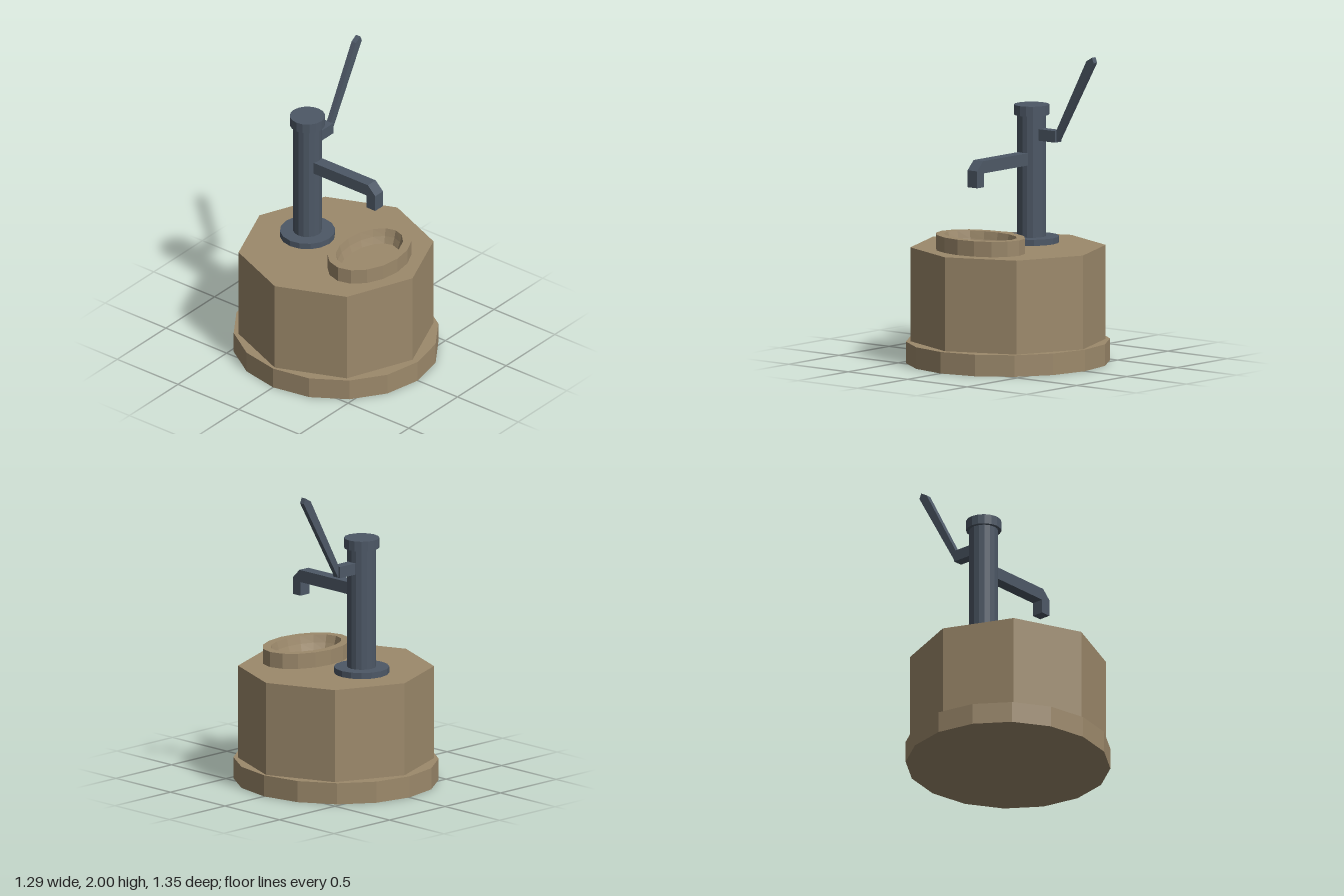
import * as THREE from 'three';

const stone = new THREE.MeshStandardMaterial({ color: 0x9c896b });
stone.name = 'stone';
const iron = new THREE.MeshStandardMaterial({ color: 0x4d5866 });
iron.name = 'iron';

const PUMP_Z = -0.235;

// Faceted mesh: every face gets its own normal
function part(name, geometry, material, x = 0, y = 0, z = 0) {
  const flat = geometry.index ? geometry.toNonIndexed() : geometry;
  flat.computeVertexNormals();
  const mesh = new THREE.Mesh(flat, material);
  mesh.name = name;
  mesh.position.set(x, y, z);
  return mesh;
}

// Upright prism between two heights
function prism(name, radius, y0, y1, sides, material, z = 0, scaleX = 1) {
  const g = new THREE.CylinderGeometry(radius, radius, y1 - y0, sides);
  g.scale(scaleX, 1, 1);
  return part(name, g, material, 0, (y0 + y1) / 2, z);
}

// Side profile extruded symmetrically about its own plane
function slab(points, width) {
  const shape = new THREE.Shape(points.map(([x, y]) => new THREE.Vector2(x, y)));
  const g = new THREE.ExtrudeGeometry(shape, { depth: width, bevelEnabled: false });
  return g.translate(0, 0, -width / 2);
}

// Oval basin rim of even wall thickness: a lathe with its z radius reduced by a constant
function basinRim() {
  const profile = [[0.325, 0], [0.325, 0.1], [0.27, 0.1], [0.257, 0.05], [0.24, 0.004]];
  const g = new THREE.LatheGeometry(profile.map(([r, y]) => new THREE.Vector2(r, y)), 16);
  const p = g.attributes.position;
  for (let i = 0; i < p.count; i++) {
    const r = Math.hypot(p.getX(i), p.getZ(i));
    p.setZ(i, p.getZ(i) * (r - 0.095) / r);
  }
  return g;
}

export function createModel() {
  const group = new THREE.Group();
  group.name = 'waterPump';

  // Stone plinth
  group.add(
    prism('plinthFoot', 0.673, 0, 0.14, 16, stone, 0, 0.961),
    prism('plinthBlock', 0.63, 0.14, 0.75, 8, stone),
    part('basinRim', basinRim(), stone, 0, 0.75, 0.275),
  );

  // Iron column
  group.add(
    prism('columnFlange', 0.178, 0.75, 0.79, 16, iron, PUMP_Z),
    prism('column', 0.093, 0.79, 1.58, 16, iron, PUMP_Z),
    prism('columnCap', 0.114, 1.58, 1.645, 16, iron, PUMP_Z),
  );

  // Spout, drawn in z and y
  const spout = slab([
    [-0.2, 1.26], [0.285, 1.26], [0.285, 1.17], [0.355, 1.17],
    [0.355, 1.28], [0.295, 1.34], [-0.2, 1.34],
  ], 0.08);
  spout.rotateY(-Math.PI / 2);
  group.add(part('spout', spout, iron));

  // Handle bracket and lever
  group.add(
    part('handleBracket', new THREE.BoxGeometry(0.165, 0.075, 0.066), iron, 0.1425, 1.4575, PUMP_Z),
    part('handleLever', slab([
      [0.2, 1.425], [0.23, 1.425], [0.537, 1.965], [0.522, 2], [0.475, 1.972], [0.2, 1.455],
    ], 0.035), iron, 0, 0, PUMP_Z),
  );

  return group;
}
